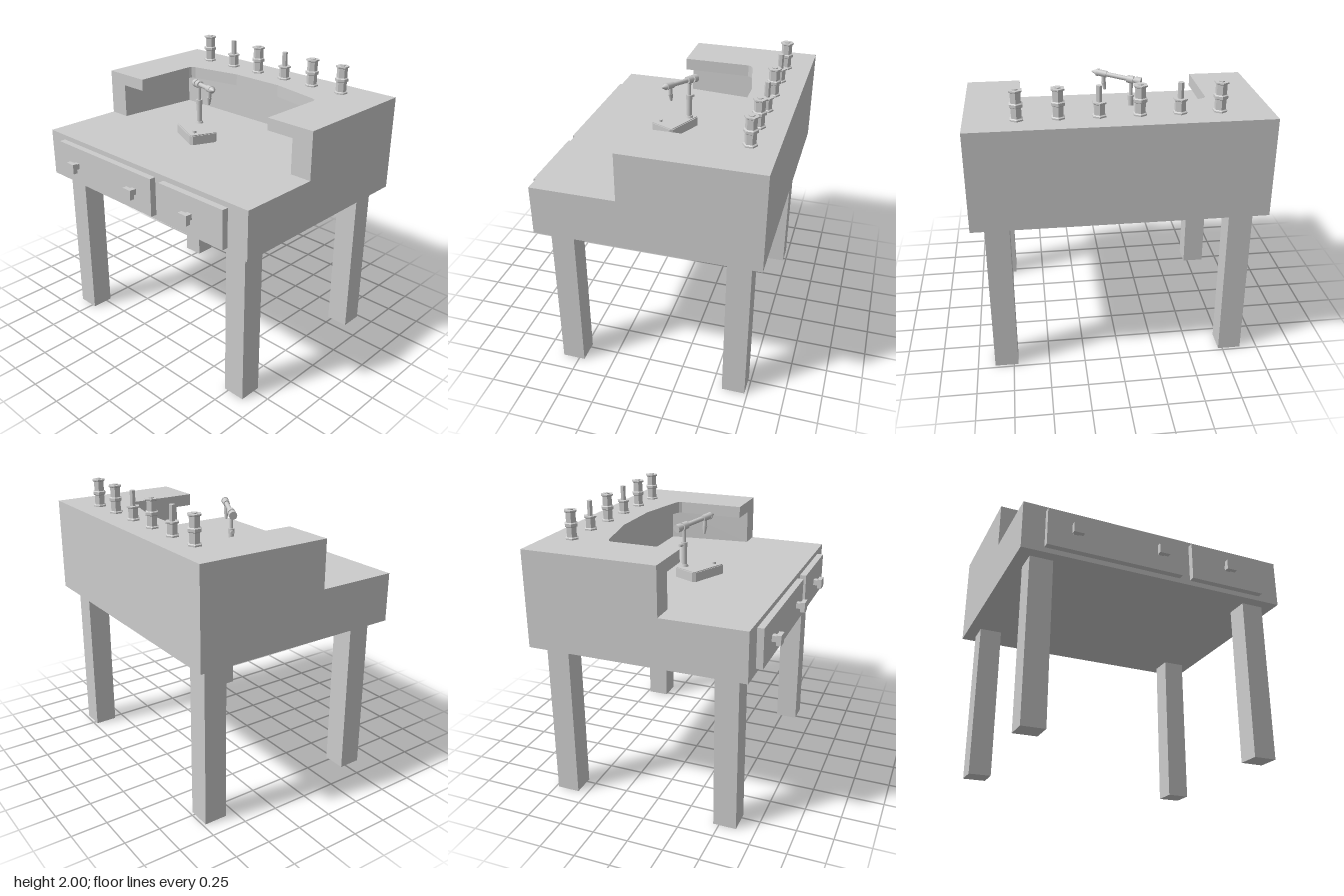
import * as THREE from 'three';

const material = new THREE.MeshStandardMaterial({ color: 0xcccccc, flatShading: true });
const smooth = new THREE.MeshStandardMaterial({ color: 0xcccccc });

function add(parent, name, geometry, x = 0, y = 0, z = 0, mat = material) {
  const mesh = new THREE.Mesh(geometry, mat);
  mesh.name = name;
  mesh.position.set(x, y, z);
  parent.add(mesh);
  return mesh;
}

// Box given by its extents
function box(parent, name, x0, x1, y0, y1, z0, z1) {
  return add(parent, name, new THREE.BoxGeometry(x1 - x0, y1 - y0, z1 - z0),
    (x0 + x1) / 2, (y0 + y1) / 2, (z0 + z1) / 2);
}

// Horizontal plate from a right-half outline of [x, z] points, mirrored in x
function plate(parent, name, half, y0, y1) {
  const outline = [...half, ...half.map(([x, z]) => [-x, z]).reverse()];
  const shape = new THREE.Shape(outline.map(([x, z]) => new THREE.Vector2(x, -z)));
  const geometry = new THREE.ExtrudeGeometry(shape, { depth: y1 - y0, bevelEnabled: false });
  geometry.rotateX(-Math.PI / 2);
  return add(parent, name, geometry, 0, y0, 0);
}

// Upright lathe part from [radius, y] points
function turned(parent, name, profile, sides, x, y, z) {
  const points = profile.map(([r, h]) => new THREE.Vector2(r, h));
  return add(parent, name, new THREE.LatheGeometry(points, sides), x, y, z);
}

// Cylinder or cone running between two points
function rod(parent, name, a, b, r0, r1 = r0, sides = 16) {
  const from = new THREE.Vector3(...a), to = new THREE.Vector3(...b);
  const dir = to.clone().sub(from);
  const mesh = add(parent, name, new THREE.CylinderGeometry(r1, r0, dir.length(), sides), 0, 0, 0, smooth);
  mesh.position.copy(from).add(to).multiplyScalar(0.5);
  mesh.quaternion.setFromUnitVectors(new THREE.Vector3(0, 1, 0), dir.normalize());
  return mesh;
}

function buildTable(parent) {
  const table = new THREE.Group();
  table.name = 'table';
  parent.add(table);
  box(table, 'tableBody', -0.965, 0.965, 1.13, 1.47, -0.81, 0.7);

  // Raised surround with a recess reaching under its top
  plate(table, 'recessWalls', [[0.965, -0.81], [0.965, 0.12], [0.81, 0.12], [0.75, -0.5]], 1.47, 1.715);
  plate(table, 'upperShelf', [[0.965, -0.81], [0.965, 0.12], [0.605, 0.12], [0.605, -0.36],
    [0.595, -0.38], [0.57, -0.395], [0.2, -0.47]], 1.715, 1.8);

  for (const x of [-0.8, 0.8]) {
    for (const z of [0.54, -0.65]) box(table, 'leg', x - 0.08, x + 0.08, 0, 1.13, z - 0.08, z + 0.08);
  }
}

function buildDrawers(parent) {
  const drawers = new THREE.Group();
  drawers.name = 'drawers';
  parent.add(drawers);
  box(drawers, 'wideDrawer', -0.81, 0.165, 1.165, 1.435, 0.69, 0.745);
  box(drawers, 'narrowDrawer', 0.245, 0.805, 1.165, 1.435, 0.69, 0.745);
  for (const x of [-0.615, 0, 0.525]) {
    box(drawers, 'knobStem', x - 0.02, x + 0.02, 1.28, 1.32, 0.74, 0.78);
    box(drawers, 'knob', x - 0.037, x + 0.037, 1.263, 1.333, 0.778, 0.81);
  }
}

function buildSpools(parent) {
  const spool = [[0, 0], [0.047, 0], [0.047, 0.01], [0.037, 0.016], [0.037, 0.082],
    [0.047, 0.088], [0.047, 0.097], [0, 0.097]];
  [-0.635, -0.38, -0.127, 0.127, 0.38, 0.635].forEach((x, i) => {
    const stand = new THREE.Group();
    stand.name = 'spoolStand';
    stand.position.set(x, 1.8, -0.63);
    parent.add(stand);
    add(stand, 'peg', new THREE.CylinderGeometry(0.02, 0.02, 0.2, 6), 0, 0.1, 0);
    turned(stand, 'lowerSpool', spool, 6, 0, 0, 0);
    if (i !== 1 && i !== 3) turned(stand, 'upperSpool', spool, 6, 0, 0.097, 0);
  });
}

function buildTool(parent) {
  const tool = new THREE.Group();
  tool.name = 'toolStand';
  tool.position.set(-0.1, 1.47, 0.06);
  tool.rotation.y = -0.43;
  parent.add(tool);

  // Base with clipped corners
  const w = 0.15, d = 0.1, c = 0.018;
  plate(tool, 'standBase', [[w - c, -d], [w, -d + c], [w, d - c], [w - c, d]].reverse(), 0, 0.064);
  plate(tool, 'standBaseTop', [[w - c, -d + 0.006], [w - 0.006, -d + c], [w - 0.006, d - c],
    [w - c, d - 0.006]].reverse(), 0.064, 0.07);
  rod(tool, 'baseButton', [0.095, 0.06, 0.05], [0.095, 0.085, 0.05], 0.013);

  // Post with clamp
  const px = -0.092, z = -0.056;
  rod(tool, 'postFoot', [px, 0.065, z], [px, 0.085, z], 0.03, 0.024);
  rod(tool, 'lowerPost', [px, 0.07, z], [px, 0.24, z], 0.019);
  rod(tool, 'upperPost', [px, 0.24, z], [px, 0.35, z], 0.013);
  rod(tool, 'postCollar', [px, 0.21, z], [px, 0.245, z], 0.023);
  rod(tool, 'clampScrew', [px - 0.045, 0.225, z], [px, 0.225, z], 0.011);

  // Tilted arm: [start, end, start radius, end radius] along its length
  const at = (x) => [x, 0.348 + (x + 0.164) * 0.115, z];
  const arm = [
    ['armCap', -0.164, -0.125, 0.028, 0.028],
    ['armNeck', -0.125, -0.11, 0.018, 0.018],
    ['armCollar', -0.11, -0.065, 0.028, 0.026],
    ['arm', -0.065, 0.09, 0.016, 0.016],
    ['headCollar', 0.085, 0.145, 0.023, 0.023],
    ['headRing', 0.145, 0.157, 0.026, 0.026],
    ['headTip', 0.157, 0.195, 0.023, 0.003],
  ];
  for (const [name, x0, x1, r0, r1] of arm) rod(tool, name, at(x0), at(x1), r0, r1);
  rod(tool, 'handle', [0.11, 0.375, z], [0.108, 0.315, z], 0.014);
  rod(tool, 'handleGrip', [0.108, 0.32, z], [0.1, 0.265, z], 0.017, 0.009);
}

export function createModel() {
  const model = new THREE.Group();
  model.name = 'workbench';
  buildTable(model);
  buildDrawers(model);
  buildSpools(model);
  buildTool(model);
  return model;
}
